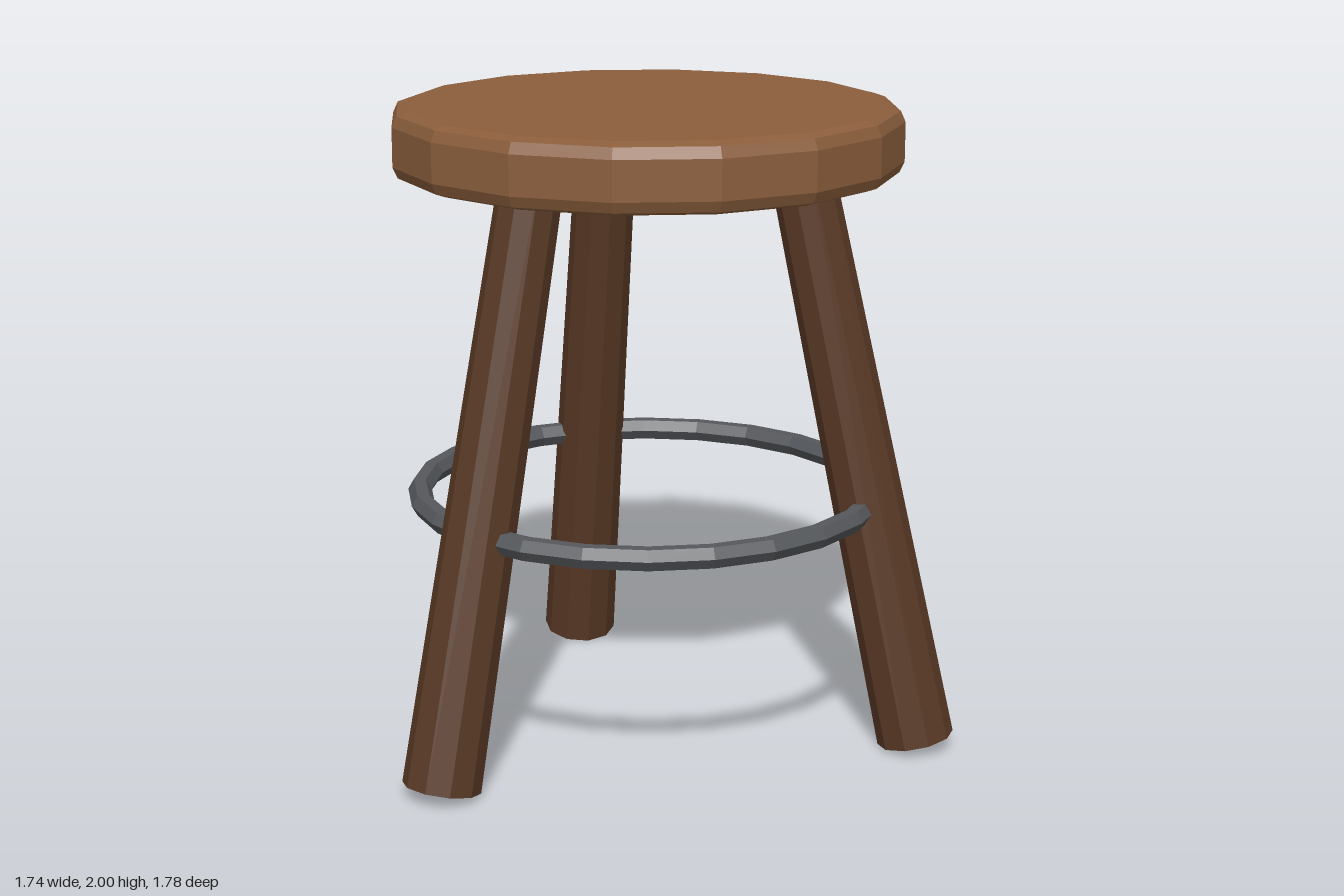
import * as THREE from 'three';

const CENTER_Z = 0.105; // shared axis of seat, legs and ring

function part(name, geometry, color) {
  const material = new THREE.MeshStandardMaterial({ color, flatShading: true });
  const mesh = new THREE.Mesh(geometry, material);
  mesh.name = name;
  return mesh;
}

// Tapered leg whose end caps stay square to its tilted axis
function makeLeg(name, angle) {
  const at = (radius, y) =>
    new THREE.Vector3(Math.sin(angle) * radius, y, Math.cos(angle) * radius);
  const foot = at(0.875, 0.026);
  const head = at(0.475, 1.85);
  const axis = head.clone().sub(foot);
  const leg = part(name, new THREE.CylinderGeometry(0.097, 0.12, axis.length(), 10), 0x5a3a26);
  leg.position.copy(foot).add(head).multiplyScalar(0.5);
  leg.quaternion.setFromUnitVectors(new THREE.Vector3(0, 1, 0), axis.normalize());
  return leg;
}

export function createModel() {
  const model = new THREE.Group();
  model.name = 'stool';

  const body = new THREE.Group();
  body.name = 'stoolBody';
  body.position.z = CENTER_Z;
  model.add(body);

  // Sixteen-sided seat with softened rims
  const profile = [
    [0, 1.79], [0.735, 1.79], [0.77, 1.802], [0.785, 1.835],
    [0.785, 1.955], [0.77, 1.988], [0.735, 2], [0, 2],
  ].map(([r, y]) => new THREE.Vector2(r, y));
  body.add(part('seat', new THREE.LatheGeometry(profile, 16), 0x8b5e3c));

  // Three splayed legs, one at the back
  ['leftLeg', 'backLeg', 'rightLeg'].forEach((name, i) => {
    body.add(makeLeg(name, Math.PI / 3 + (i * Math.PI * 2) / 3));
  });

  // Metal foot ring passing through the legs
  const ring = part('footRing', new THREE.TorusGeometry(0.713, 0.037, 6, 24), 0x55585c);
  ring.rotation.x = Math.PI / 2;
  ring.position.y = 0.777;
  body.add(ring);

  return model;
}
